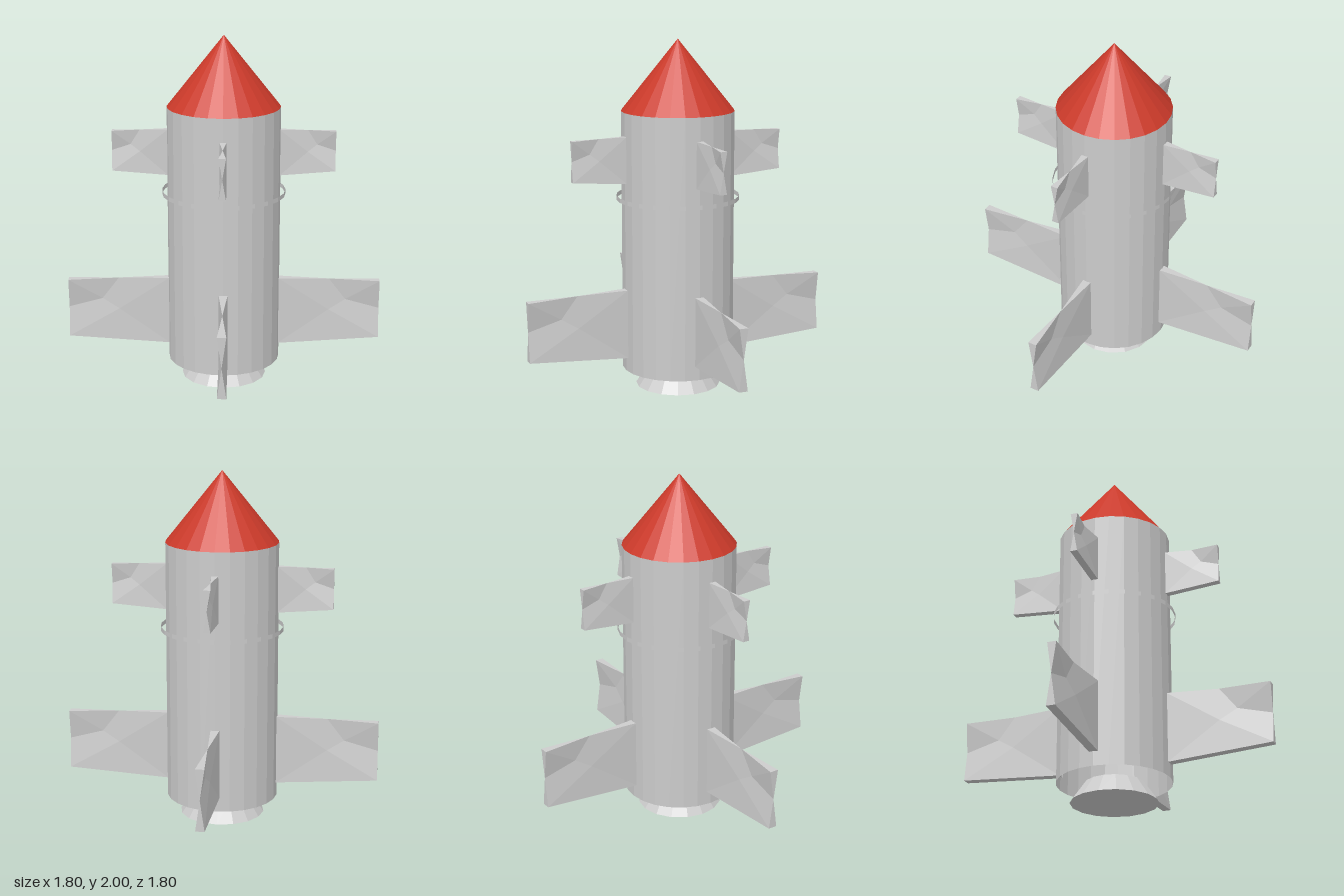
import * as THREE from 'three';

const grey = new THREE.MeshStandardMaterial({ color: 0xcccccc, flatShading: true, side: THREE.DoubleSide });
const red = new THREE.MeshStandardMaterial({ color: 0xcc3a2a, flatShading: true });

function drum(name, rTop, rBottom, y0, y1, sides, open, material) {
  const mesh = new THREE.Mesh(new THREE.CylinderGeometry(rTop, rBottom, y1 - y0, sides, 1, open), material);
  mesh.name = name;
  mesh.position.y = (y0 + y1) / 2;
  return mesh;
}

// Thin fin pointing along +x whose upper tip corners are swapped, so the top and tip faces twist
function finGeometry({ root, tip, rootY, tipY, t }) {
  const corners = [];
  for (const s of [-1, 1]) {
    corners.push(
      new THREE.Vector3(root, rootY[0], s * t),
      new THREE.Vector3(tip, tipY[0], s * t),
      new THREE.Vector3(tip, tipY[1], -s * t),
      new THREE.Vector3(root, rootY[1], s * t));
  }
  const quads = [[3, 2, 1, 0], [4, 5, 6, 7], [0, 1, 5, 4], [1, 2, 6, 5], [2, 3, 7, 6]];
  const points = [];
  for (const quad of quads) {
    const c = quad.map((i) => corners[i]);
    const centre = new THREE.Vector3();
    c.forEach((p) => centre.addScaledVector(p, 0.25));
    // A fan round the centre keeps the twisted faces clean
    c.forEach((p, i) => points.push(p, c[(i + 1) % 4], centre));
  }
  const geometry = new THREE.BufferGeometry().setFromPoints(points);
  geometry.computeVertexNormals();
  return geometry;
}

function finSet(name, spec) {
  const group = new THREE.Group();
  group.name = name + 's';
  const geometry = finGeometry(spec);
  for (let i = 0; i < 4; i++) {
    const fin = new THREE.Mesh(geometry, grey);
    fin.name = name;
    fin.rotation.y = i * Math.PI / 2;
    group.add(fin);
  }
  return group;
}

export function createModel() {
  const rocket = new THREE.Group();
  rocket.name = 'rocket';
  rocket.add(
    drum('noseCone', 0, 0.32, 1.6, 2, 24, false, red),
    drum('body', 0.32, 0.32, 0.11, 1.6, 24, true, grey),
    drum('bandRing', 0.35, 0.35, 1.095, 1.12, 24, true, grey),
    drum('nozzle', 0.165, 0.243, 0, 0.11, 16, false, grey),
    finSet('lowerFin', { root: 0.315, tip: 0.9, rootY: [0.19, 0.59], tipY: [0.23, 0.575], t: 0.025 }),
    finSet('upperFin', { root: 0.315, tip: 0.63, rootY: [1.205, 1.468], tipY: [1.23, 1.46], t: 0.02 }));
  return rocket;
}
